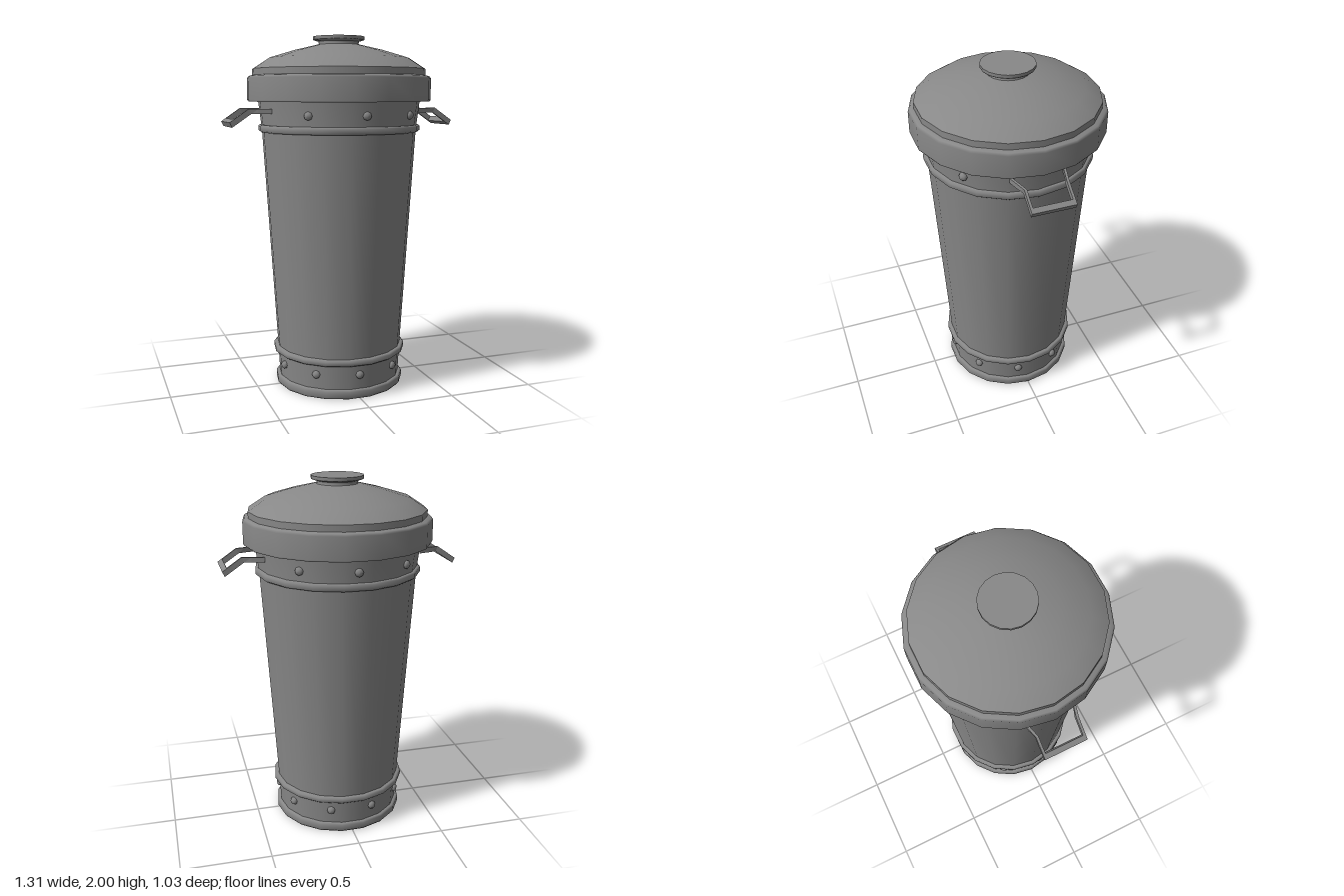
import * as THREE from 'three';
import { mergeGeometries } from 'three/addons/utils/BufferGeometryUtils.js';

const SIDES = 18;
const metal = new THREE.MeshStandardMaterial({ color: 0x888888 });

// Turned part: profile of [radius, y] from bottom to top, with a corner on +x.
// The profile is split at sharp corners so that only soft bends are smoothed.
function turned(name, profile) {
  const points = profile.map(([r, y]) => new THREE.Vector2(r, y));
  const sections = [[points[0]]];
  for (let i = 1; i < points.length; i++) {
    sections.at(-1).push(points[i]);
    if (i === points.length - 1) break;
    const before = points[i].clone().sub(points[i - 1]);
    const after = points[i + 1].clone().sub(points[i]);
    if (before.angleTo(after) > THREE.MathUtils.degToRad(55)) sections.push([points[i]]);
  }
  const lathes = sections.map((s) => new THREE.LatheGeometry(s, SIDES, Math.PI / 2));
  const mesh = new THREE.Mesh(mergeGeometries(lathes), metal);
  mesh.name = name;
  return mesh;
}

// Flat-topped rivets on a band; angles in degrees measured from the front
function rivets(name, radius, y, angles) {
  const group = new THREE.Group();
  group.name = name;
  const stud = new THREE.LatheGeometry([
    new THREE.Vector2(0.023, -0.005), new THREE.Vector2(0.023, 0.008),
    new THREE.Vector2(0.015, 0.018), new THREE.Vector2(0, 0.02),
  ], 8);
  stud.rotateX(Math.PI / 2);
  const r = radius * Math.cos(Math.PI / SIDES);
  for (const angle of angles) {
    const a = THREE.MathUtils.degToRad(angle);
    const rivet = new THREE.Mesh(stud, metal);
    rivet.name = 'rivet';
    rivet.position.set(r * Math.sin(a), y, r * Math.cos(a));
    rivet.rotation.y = a;
    group.add(rivet);
  }
  return group;
}

// U-shaped strap handle, lofted through four-cornered sections
function handle(name) {
  const half = [ // outer x, outer z, inner x, inner z
    [0.43, 0.150, 0.43, 0.136],
    [0.50, 0.131, 0.50, 0.117],
    [0.55, 0.118, 0.55, 0.104],
    [0.655, 0.118, 0.630, 0.104],
  ];
  const path = [...half, ...half.slice().reverse().map(([a, b, c, d]) => [a, -b, c, -d])];
  const height = (x) => 1.602 - Math.max(0, x - 0.55) * 0.68;
  const corners = path.map(([ox, oz, ix, iz]) => {
    const lean = ox > 0.5 ? 0.013 : 0;
    return [
      [ox, height(ox), oz],
      [ix, height(ix), iz],
      [ix - lean, height(ix) - 0.027, iz],
      [ox - lean, height(ox) - 0.027, oz],
    ];
  });
  const positions = [];
  const quad = (a, b, c, d) => positions.push(...a, ...b, ...c, ...a, ...c, ...d);
  for (let i = 0; i < corners.length - 1; i++) {
    for (let j = 0; j < 4; j++) {
      const k = (j + 1) % 4;
      quad(corners[i][j], corners[i + 1][j], corners[i + 1][k], corners[i][k]);
    }
  }
  const geometry = new THREE.BufferGeometry();
  geometry.setAttribute('position', new THREE.Float32BufferAttribute(positions, 3));
  geometry.computeVertexNormals();
  const mesh = new THREE.Mesh(geometry, metal);
  mesh.name = name;
  return mesh;
}

export function createModel() {
  const model = new THREE.Group();
  model.name = 'bin';

  // Tapered body
  model.add(turned('body', [
    [0.352, 0.02], [0.362, 0.21], [0.441, 1.48], [0.468, 1.7],
  ]));

  // Base hoop with the floor, then the raised hoops
  model.add(turned('baseHoop', [
    [0, 0], [0.364, 0], [0.374, 0.012], [0.374, 0.042], [0.366, 0.052], [0.35, 0.052],
  ]));
  model.add(turned('lowerHoop', [
    [0.35, 0.19], [0.376, 0.192], [0.386, 0.2], [0.386, 0.22], [0.376, 0.228], [0.35, 0.23],
  ]));
  model.add(turned('upperHoop', [
    [0.43, 1.468], [0.452, 1.47], [0.462, 1.478], [0.462, 1.502], [0.452, 1.51], [0.43, 1.512],
  ]));

  // Rivets on both bands; the upper band leaves room for the handles
  const around = Array.from({ length: 9 }, (_, i) => i * 40);
  model.add(rivets('lowerRivets', 0.359, 0.135, around));
  model.add(rivets('upperRivets', 0.452, 1.568, [-40, 0, 40, 140, 180, 220]));

  // Lid: underside, rim, step and shallow dome
  model.add(turned('lid', [
    [0.44, 1.66], [0.49, 1.64], [0.518, 1.64], [0.523, 1.648], [0.523, 1.768], [0.514, 1.78],
    [0.492, 1.785], [0.492, 1.82], [0.40, 1.88], [0.26, 1.922], [0.12, 1.955], [0, 1.96],
  ]));

  // Flat knob on a short neck
  model.add(turned('knob', [
    [0.12, 1.945], [0.112, 1.96], [0.115, 1.972], [0.143, 1.98], [0.145, 1.984],
    [0.145, 2], [0, 2],
  ]));

  // Side handles
  const left = handle('leftHandle');
  const right = handle('rightHandle');
  right.rotation.y = Math.PI;
  model.add(left, right);

  return model;
}
